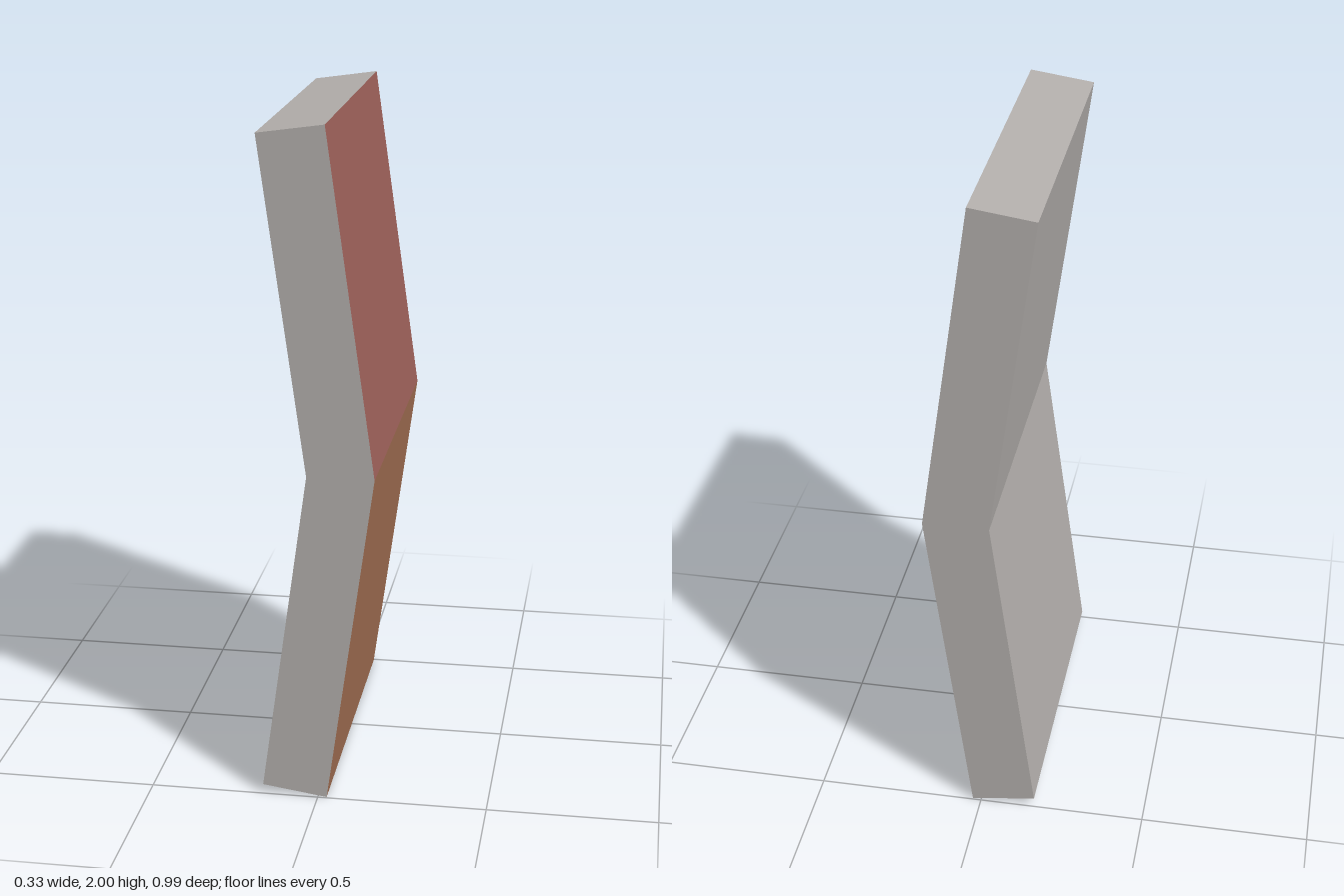
import * as THREE from 'three';

const material = (name, color) => {
  const m = new THREE.MeshStandardMaterial({ color });
  m.name = name;
  return m;
};

export function createModel() {
  const group = new THREE.Group();
  group.name = 'bentPanel';
  const depth = 0.99;

  // Bent cross-section, counter-clockwise from the lower inner corner
  const profile = new THREE.Shape([
    [-0.165, 0.027], [0.026, 0], [0.165, 1],
    [0.026, 2], [-0.165, 1.973], [-0.03, 1],
  ].map(([x, y]) => new THREE.Vector2(x, y)));

  const geometry = new THREE.ExtrudeGeometry(profile, { depth, bevelEnabled: false });
  geometry.translate(0, 0, -depth / 2);

  // Colour the two outer faces; every other face is grey
  geometry.clearGroups();
  const { position, normal } = geometry.attributes;
  for (let i = 0; i < position.count; i += 3) {
    const y = (position.getY(i) + position.getY(i + 1) + position.getY(i + 2)) / 3;
    const outer = normal.getX(i) > 0.9;
    geometry.addGroup(i, 3, outer ? (y > 1 ? 1 : 2) : 0);
  }

  const panel = new THREE.Mesh(geometry, [
    material('warmGrey', 0xb4b0ad),
    material('brickRed', 0xa0625b),
    material('clayBrown', 0xa87355),
  ]);
  panel.name = 'panel';
  group.add(panel);
  return group;
}
